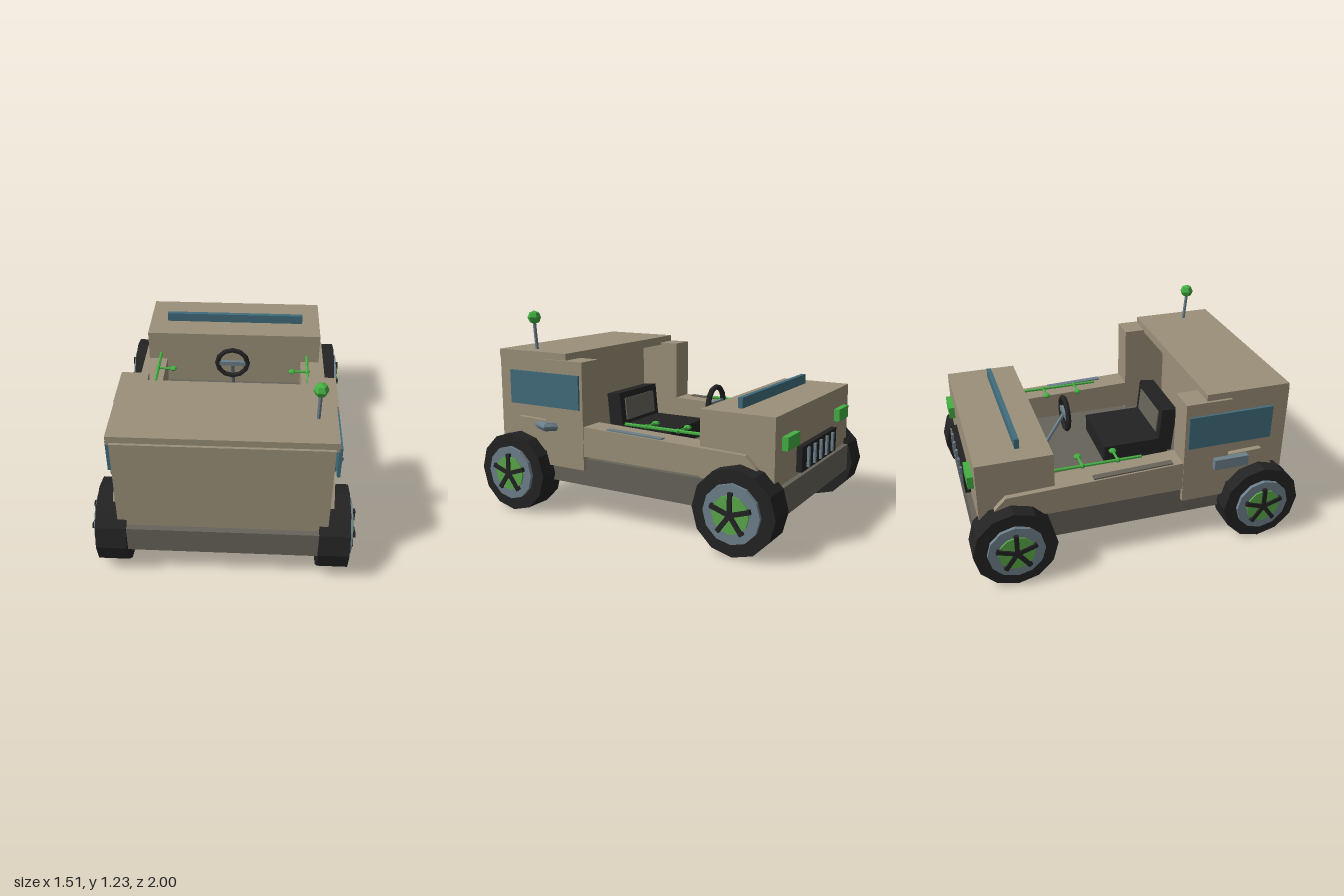
import * as THREE from 'three';

const mat = (name, color) => {
  const m = new THREE.MeshStandardMaterial({ color });
  m.name = name;
  m.flatShading = true;
  return m;
};

export function createModel() {
  const tan = mat('tan body', 0x9b9079);
  const grey = mat('chassis grey', 0x67635a);
  const black = mat('rubber black', 0x232323);
  const steel = mat('steel', 0x6c7f8a);
  const blue = mat('window blue', 0x416c7c);
  const green = mat('bright green', 0x45b043);
  const hubGreen = mat('hub green', 0x5aa84a);

  const car = new THREE.Group();
  car.name = 'openTruck';

  const add = (name, geo, material, x = 0, y = 0, z = 0, parent = car) => {
    const m = new THREE.Mesh(geo, material);
    m.name = name;
    m.position.set(x, y, z);
    parent.add(m);
    return m;
  };
  // Box given by its minimum and maximum on each axis
  const box = (name, material, x0, x1, y0, y1, z0, z1, parent = car) =>
    add(name, new THREE.BoxGeometry(x1 - x0, y1 - y0, z1 - z0), material,
      (x0 + x1) / 2, (y0 + y1) / 2, (z0 + z1) / 2, parent);
  // Box mirrored onto both sides
  const pair = (name, material, x0, x1, ...rest) => {
    box(name + 'Left', material, x0, x1, ...rest);
    box(name + 'Right', material, -x1, -x0, ...rest);
  };
  // Straight rod between two points
  const rod = (name, material, a, b, r, sides = 6) => {
    const p = new THREE.Vector3(...a), q = new THREE.Vector3(...b);
    const d = q.clone().sub(p);
    const m = add(name, new THREE.CylinderGeometry(r, r, d.length(), sides), material);
    m.position.copy(p).addScaledVector(d, 0.5);
    m.quaternion.setFromUnitVectors(new THREE.Vector3(0, 1, 0), d.normalize());
    return m;
  };

  // Main body blocks
  box('chassis', grey, -0.6, 0.6, 0.2, 0.365, -0.965, 0.965);
  box('hood', tan, -0.59, 0.59, 0.365, 0.75, -0.935, -0.495);
  box('cabinBack', tan, -0.59, 0.59, 0.36, 0.95, 0.545, 0.93);
  box('roof', tan, -0.61, 0.61, 0.935, 0.99, 0.4, 0.915);
  pair('cabinPillar', tan, 0.465, 0.627, 0.3, 0.95, 0.27, 0.55);
  pair('sideWindow', blue, 0.622, 0.64, 0.665, 0.87, 0.29, 0.81);
  box('windshieldStrip', blue, -0.47, 0.47, 0.75, 0.81, -0.69, -0.662);

  // Side sills with sloped fender ends, profile in z and y
  const profile = new THREE.Shape([
    [-0.9, 0.385], [0.9, 0.385], [0.84, 0.475], [0.77, 0.58], [-0.78, 0.535], [-0.84, 0.475],
  ].map(([z, y]) => new THREE.Vector2(z, y)));
  const sill = new THREE.ExtrudeGeometry(profile, { depth: 0.158, bevelEnabled: false });
  sill.rotateY(-Math.PI / 2);
  add('sillLeft', sill, tan, 0.623);
  add('sillRight', sill, tan, -0.465);

  // Thin step strips on the sills
  box('stepStripLeft', steel, 0.575, 0.612, 0.556, 0.564, -0.26, 0.11).rotation.x = -0.029;
  box('stepStripRight', grey, -0.612, -0.572, 0.557, 0.565, -0.27, 0.21).rotation.x = -0.029;

  // Door handles, one wedge and one block
  const wedge = new THREE.ExtrudeGeometry(new THREE.Shape([
    new THREE.Vector2(0.625, -0.47), new THREE.Vector2(0.672, -0.52), new THREE.Vector2(0.635, -0.61),
  ]), { depth: 0.01, bevelEnabled: true, bevelThickness: 0.02, bevelSize: 0.018, bevelSegments: 1 });
  wedge.rotateX(-Math.PI / 2);
  add('handleLeft', wedge, steel, 0, 0.54, 0);
  box('handleRight', steel, -0.663, -0.6, 0.505, 0.572, 0.455, 0.67);

  // Grille and headlights
  box('grille', black, -0.285, 0.285, 0.385, 0.53, -0.968, -0.93);
  for (let i = -2; i <= 2; i++)
    box('grilleBar', steel, i * 0.1 - 0.011, i * 0.1 + 0.011, 0.4, 0.515, -0.982, -0.96);
  pair('headlight', green, 0.33, 0.5, 0.555, 0.63, -0.97, -0.93);

  // Wheels: tyre, rim, hub and five spokes
  const disc = (r, w, sides) => new THREE.CylinderGeometry(r, r, w, sides).rotateZ(Math.PI / 2);
  for (const s of [1, -1]) for (const z of [0.757, -0.757]) {
    const wheel = new THREE.Group();
    wheel.name = (z > 0 ? 'tailWheel' : 'noseWheel') + (s > 0 ? 'Left' : 'Right');
    wheel.position.set(0, 0.243, z);
    car.add(wheel);
    add('tyre', disc(0.243, 0.175, 12), black, s * 0.6275, 0, 0, wheel);
    add('rim', disc(0.166, 0.04, 12), steel, s * 0.716, 0, 0, wheel);
    add('hub', disc(0.107, 0.02, 12), hubGreen, s * 0.736, 0, 0, wheel);
    for (let i = 0; i < 5; i++) {
      const spoke = new THREE.BoxGeometry(0.02, 0.122, 0.026);
      spoke.translate(0, 0.061, 0).rotateX(i * Math.PI * 2 / 5);
      add('spoke', spoke, black, s * 0.746, 0, 0, wheel);
    }
  }

  // Seat with a reclined backrest and inset panel
  box('seatCushion', black, -0.215, 0.215, 0.39, 0.5, -0.09, 0.33);
  const back = new THREE.Group();
  back.name = 'backrest';
  back.position.set(0, 0.45, 0.3);
  back.rotation.x = 0.1;
  car.add(back);
  box('backrestPad', black, -0.215, 0.215, -0.04, 0.25, -0.035, 0.06, back);
  box('backrestPanel', grey, -0.165, 0.165, 0.07, 0.21, -0.043, -0.034, back);

  // Steering wheel and column
  add('steeringWheel', new THREE.TorusGeometry(0.1, 0.017, 6, 12), black, 0, 0.662, -0.285);
  box('steeringBar', steel, -0.095, 0.095, 0.645, 0.675, -0.295, -0.275);
  rod('steeringColumn', steel, [0, 0.662, -0.29], [0, 0.36, -0.48], 0.013);

  // Green rails with side knobs
  for (const s of [1, -1]) {
    rod('rail', green, [s * 0.505, 0.587, -0.5], [s * 0.505, 0.587, 0.05], 0.01);
    for (const z of [-0.31, -0.095]) {
      rod('railArm', green, [s * 0.505, 0.587, z], [s * 0.4, 0.587, z], 0.008);
      add('railKnob', new THREE.SphereGeometry(0.025, 6, 4).scale(1, 0.6, 1), green, s * 0.4, 0.587, z);
      add('railJoint', new THREE.SphereGeometry(0.016, 6, 4), green, s * 0.505, 0.587, z);
    }
  }

  // Roof antenna
  rod('antennaRod', steel, [0.505, 0.98, 0.703], [0.505, 1.16, 0.72], 0.011);
  add('antennaTip', new THREE.SphereGeometry(0.042, 6, 4), green, 0.505, 1.185, 0.718);

  return car;
}
